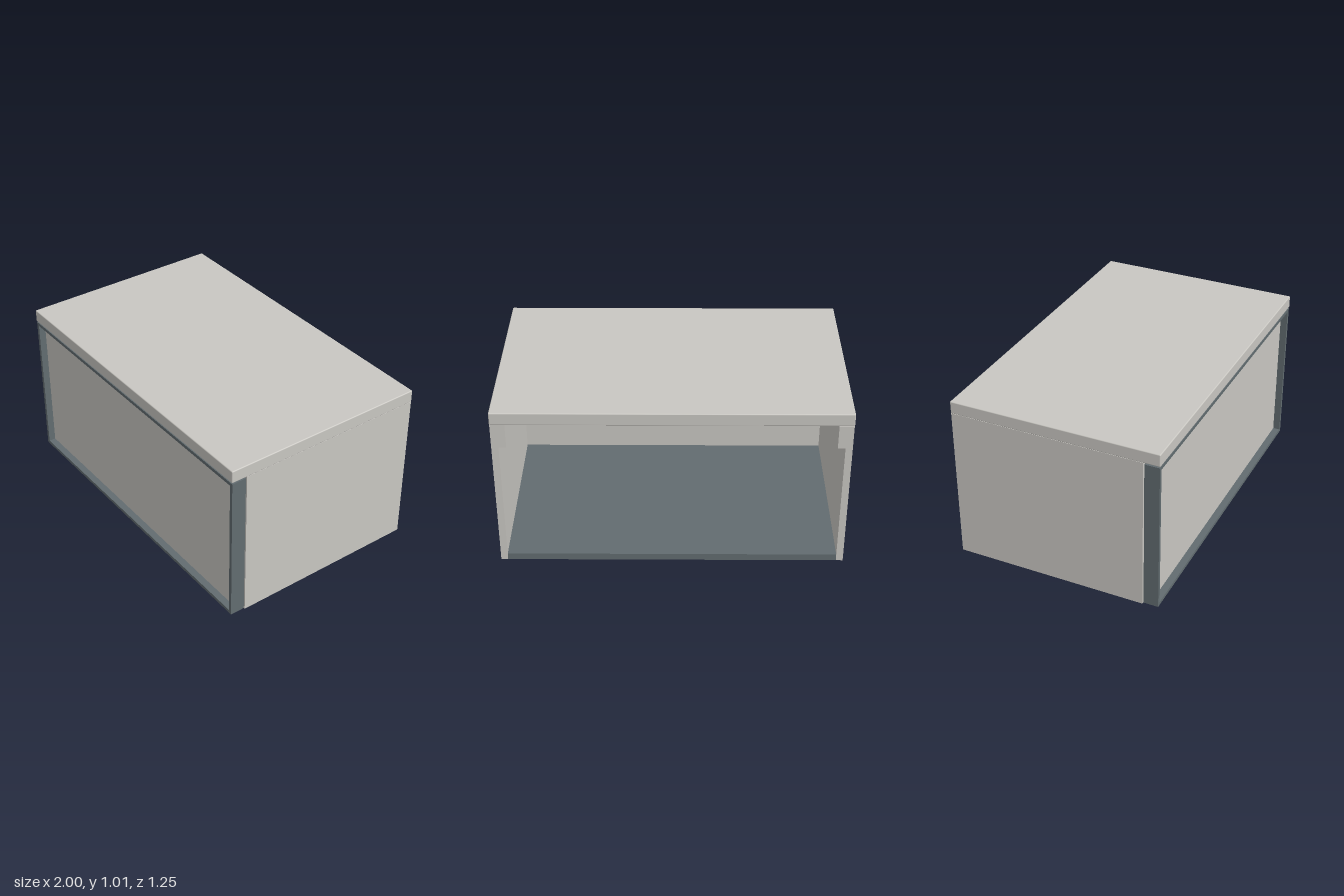
import * as THREE from 'three';
import { RoundedBoxGeometry } from 'three/addons/geometries/RoundedBoxGeometry.js';

const stone = new THREE.MeshStandardMaterial({ color: 0xc9c7c2 });
stone.name = 'warmLightGrey';
const slate = new THREE.MeshStandardMaterial({ color: 0x626c70 });
slate.name = 'slateGrey';

export function createModel() {
  const model = new THREE.Group();
  model.name = 'drawerCabinet';

  const add = (name, geometry, material, x, y, z) => {
    const mesh = new THREE.Mesh(geometry, material);
    mesh.name = name;
    mesh.position.set(x, y, z);
    model.add(mesh);
    return mesh;
  };
  // Box given by its minimum and maximum corners
  const box = (name, material, [x0, y0, z0], [x1, y1, z1]) =>
    add(name, new THREE.BoxGeometry(x1 - x0, y1 - y0, z1 - z0), material,
      (x0 + x1) / 2, (y0 + y1) / 2, (z0 + z1) / 2);

  // Worktop with softly rounded edges
  add('worktop', new RoundedBoxGeometry(2, 0.075, 1.25, 3, 0.006), stone, 0, 0.968, 0);

  // Open-backed carcass: side panels, upper rails and floor
  const back = -0.623, front = 0.527, thick = 0.042;
  for (const [side, s] of [['left', 1], ['right', -1]]) {
    const panelX = [s * (1 - thick), s * 0.998].sort((a, b) => a - b);
    box(side + 'SidePanel', stone, [panelX[0], 0, back], [panelX[1], 0.93, front]);
    const railX = [s * 0.915, s * (1 - thick)].sort((a, b) => a - b);
    box(side + 'UpperRail', stone, [railX[0], 0.785, back], [railX[1], 0.93, front]);
  }
  box('floor', slate, [-1 + thick, 0, back], [1 - thick, 0.042, front]);

  // Drawer front: slim frame around a recessed panel
  const W = 0.998, y0 = 0.01, y1 = 0.923, b = 0.02;
  const outline = new THREE.Shape();
  outline.moveTo(-W, y0).lineTo(W, y0).lineTo(W, y1).lineTo(-W, y1).closePath();
  const opening = new THREE.Path();
  opening.moveTo(-W + b, y0 + b).lineTo(-W + b, y1 - b)
    .lineTo(W - b, y1 - b).lineTo(W - b, y0 + b).closePath();
  outline.holes.push(opening);
  add('drawerFrame', new THREE.ExtrudeGeometry(outline, { depth: 0.088, bevelEnabled: false }),
    slate, 0, 0, 0.534);
  box('drawerPanel', stone, [-W + b, y0 + b, 0.536], [W - b, y1 - b, 0.58]);

  return model;
}
